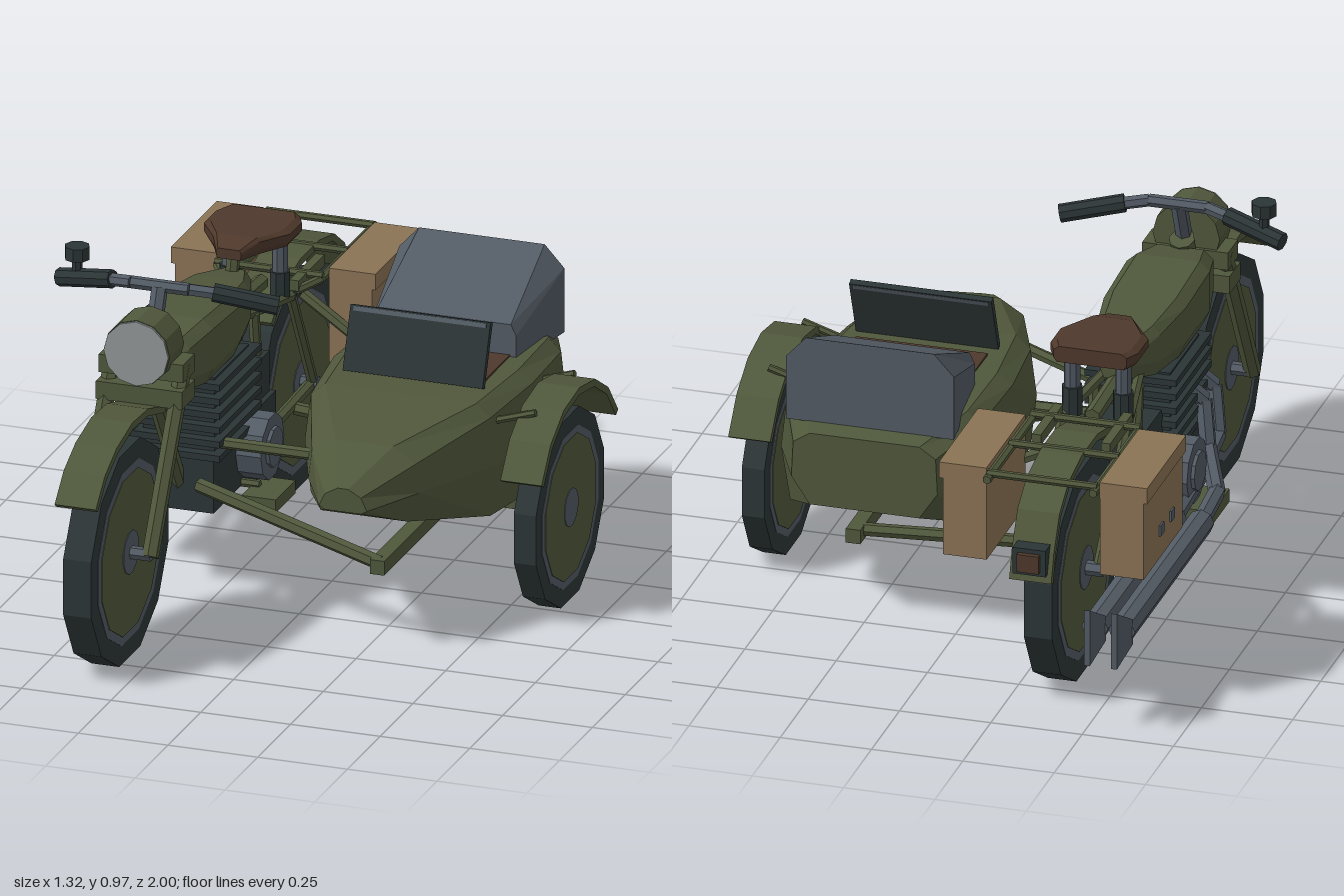
import * as THREE from 'three';

const mat = (name, color) => {
  const m = new THREE.MeshStandardMaterial({ color, flatShading: true });
  m.name = name;
  return m;
};

export function createModel() {
  const olive = mat('olive paint', 0x4f573b), dark = mat('dark rubber', 0x2c3536),
    steel = mat('steel grey', 0x535b65), tan = mat('tan canvas', 0x8b7355),
    brown = mat('brown leather', 0x4e382b), glass = mat('lamp glass', 0x909596);

  const root = new THREE.Group();
  root.name = 'motorcycleWithSidecar';
  const bike = new THREE.Group();      // local x = 0 is the bike's centre line
  bike.name = 'motorcycle';
  bike.position.x = -0.35;
  const car = new THREE.Group();
  car.name = 'sidecar';
  root.add(bike, car);

  const add = (parent, name, geo, material, x = 0, y = 0, z = 0) => {
    const m = new THREE.Mesh(geo, material);
    m.name = name;
    m.position.set(x, y, z);
    parent.add(m);
    return m;
  };
  const box = (p, name, m, w, h, d, x, y, z) => add(p, name, new THREE.BoxGeometry(w, h, d), m, x, y, z);
  // straight round bar between two points
  const bar = (p, name, m, a, b, r = 0.012, sides = 6) => {
    const A = new THREE.Vector3(...a), B = new THREE.Vector3(...b), d = B.clone().sub(A);
    const o = add(p, name, new THREE.CylinderGeometry(r, r, d.length(), sides), m);
    o.position.copy(A).add(B).multiplyScalar(0.5);
    o.quaternion.setFromUnitVectors(new THREE.Vector3(0, 1, 0), d.normalize());
  };
  const path = (p, name, m, pts, r, sides = 6) => {
    for (let i = 1; i < pts.length; i++) bar(p, name, m, pts[i - 1], pts[i], r, sides);
  };
  // closed skin over cross-sections, back to front, each counterclockwise seen from the front
  const loft = (sections) => {
    const n = sections[0].length, idx = [], k = sections.length;
    for (let s = 0; s < k - 1; s++) for (let i = 0; i < n; i++) {
      const a = s * n + i, b = s * n + (i + 1) % n;
      idx.push(a, b, b + n, a, b + n, a + n);
    }
    const f = (k - 1) * n;
    for (let i = 1; i < n - 1; i++) idx.push(0, i + 1, i, f, f + i, f + i + 1);
    let g = new THREE.BufferGeometry();
    g.setAttribute('position', new THREE.Float32BufferAttribute(sections.flat(2), 3));
    g.setIndex(idx);
    g = g.toNonIndexed();
    g.computeVertexNormals();
    return g;
  };
  // mirrored section from [half width, y] pairs listed bottom to top
  const ring = (cx, z, half) => [
    ...half.map(([w, y]) => [cx + w, y, z]),
    ...half.slice().reverse().map(([w, y]) => [cx - w, y, z])];
  // curved mudguard strip; points are [z, y], thickened toward the wheel centre
  const fender = (p, name, pts, cz, cy, width, x) => {
    const inner = pts.map(([z, y]) => {
      const l = Math.hypot(cz - z, cy - y);
      return [z + (cz - z) / l * 0.02, y + (cy - y) / l * 0.02];
    }).reverse();
    const shape = new THREE.Shape([...pts, ...inner].map(q => new THREE.Vector2(...q)));
    const g = new THREE.ExtrudeGeometry(shape, { depth: width, bevelEnabled: false });
    g.translate(0, 0, -width / 2).rotateY(-Math.PI / 2);
    add(p, name, g, olive, x);
  };
  const wheel = (p, name, x, y, z, k, width) => {
    const g = new THREE.Group(), w = width / 2;
    g.name = name;
    g.position.set(x, y, z);
    p.add(g);
    const prof = [[0.235, -w + 0.008], [0.25, -w], [0.305, -w], [0.305, w], [0.25, w], [0.235, w - 0.008]];
    const turn = geo => geo.rotateY(Math.PI / 12).rotateZ(Math.PI / 2);
    const disc = (r, l) => turn(new THREE.CylinderGeometry(r * k, r * k, l, 12));
    add(g, 'tyre', turn(new THREE.LatheGeometry(prof.map(([r, h]) => new THREE.Vector2(r * k, h)), 12)), dark);
    add(g, 'rim', disc(0.25, width + 0.002), steel);
    add(g, 'wheelDisc', disc(0.226, width + 0.005), olive);
    add(g, 'hub', disc(0.06, width + 0.009), steel);
  };

  // wheels and mudguards
  wheel(bike, 'frontWheel', 0, 0.295, 0.69, 1, 0.078);
  wheel(bike, 'rearWheel', 0, 0.295, -0.61, 1, 0.078);
  wheel(car, 'sidecarWheel', 0.6, 0.26, -0.09, 0.88, 0.062);
  fender(bike, 'frontFender', [[1, 0.53], [0.93, 0.6], [0.84, 0.645], [0.72, 0.672], [0.6, 0.667], [0.46, 0.625]], 0.69, 0.295, 0.115, 0);
  fender(bike, 'rearFender', [[-0.34, 0.56], [-0.44, 0.63], [-0.56, 0.66], [-0.7, 0.66], [-0.82, 0.635], [-0.9, 0.58], [-0.95, 0.49], [-0.975, 0.41]], -0.61, 0.295, 0.115, 0);
  fender(car, 'sidecarFender', [[0.2, 0.43], [0.13, 0.52], [0.03, 0.58], [-0.09, 0.6], [-0.21, 0.58], [-0.31, 0.52], [-0.385, 0.43]], -0.09, 0.26, 0.115, 0.6);

  // fork, head and lamp
  for (const s of [-1, 1]) bar(bike, 'forkLeg', olive, [s * 0.098, 0.29, 0.695], [s * 0.098, 0.74, 0.44], 0.023);
  bar(bike, 'frontAxle', steel, [-0.1, 0.295, 0.69], [0.1, 0.295, 0.69], 0.018);
  box(bike, 'lowerForkClamp', olive, 0.24, 0.05, 0.1, 0, 0.665, 0.465);
  box(bike, 'upperForkClamp', olive, 0.235, 0.05, 0.09, 0, 0.735, 0.455);
  bar(bike, 'steeringHead', olive, [0, 0.62, 0.46], [0, 0.8, 0.38], 0.035, 8);
  bar(bike, 'headlampShell', olive, [0, 0.79, 0.42], [0, 0.79, 0.53], 0.092, 12);
  bar(bike, 'headlampGlass', glass, [0, 0.79, 0.529], [0, 0.79, 0.537], 0.09, 12);

  // handlebar, grips and mirror
  bar(bike, 'handlebarStem', steel, [0, 0.78, 0.41], [0, 0.91, 0.355], 0.022);
  path(bike, 'handlebar', steel, [[-0.16, 0.902, 0.325], [-0.08, 0.913, 0.35], [0.08, 0.913, 0.35], [0.16, 0.902, 0.325]], 0.017);
  for (const s of [-1, 1])
    bar(bike, 'grip', dark, [s * 0.14, 0.906, 0.33], [s * 0.305, 0.873, 0.285], 0.025, 8);
  bar(bike, 'mirrorStem', dark, [-0.25, 0.89, 0.3], [-0.25, 0.95, 0.3], 0.014);
  bar(bike, 'mirror', dark, [-0.25, 0.938, 0.3], [-0.25, 0.974, 0.3], 0.034, 8);

  // fuel tank
  const tank = [[-0.22, 0.66, 0.03, 0.045, 0.75], [-0.1, 0.63, 0.075, 0.088, 0.77], [0.05, 0.62, 0.095, 0.112, 0.785],
    [0.26, 0.62, 0.095, 0.114, 0.798], [0.37, 0.63, 0.07, 0.09, 0.78], [0.415, 0.66, 0.05, 0.06, 0.74]];
  add(bike, 'fuelTank', loft(tank.map(([z, yb, wb, wm, yt]) =>
    ring(0, z, [[wb, yb], [wm, yb + 0.04], [wm, yt - 0.025], [wb * 0.9, yt]]))), olive);

  // saddle with springs
  const saddle = [[-0.44, 0.1], [-0.4, 0.12], [-0.31, 0.12], [-0.23, 0.065], [-0.17, 0.035]];
  add(bike, 'saddle', loft(saddle.map(([z, w]) =>
    ring(0, z, [[w * 0.92, 0.795], [w, 0.808], [w, z > -0.2 ? 0.815 : 0.83], [w * 0.85, z > -0.2 ? 0.823 : 0.84]]))), brown);
  bar(bike, 'saddleStrut', olive, [0, 0.64, -0.17], [0, 0.8, -0.21], 0.018);
  for (const s of [-1, 1]) {
    bar(bike, 'saddleSpring', steel, [s * 0.07, 0.65, -0.37], [s * 0.07, 0.8, -0.37], 0.022, 8);
    bar(bike, 'springSocket', dark, [s * 0.07, 0.62, -0.37], [s * 0.07, 0.7, -0.37], 0.028, 8);
  }

  // engine with cooling fins
  box(bike, 'sump', dark, 0.2, 0.17, 0.48, 0, 0.322, -0.02);
  box(bike, 'cylinderBlock', dark, 0.2, 0.27, 0.26, 0, 0.48, 0.08);
  box(bike, 'gearbox', dark, 0.17, 0.2, 0.18, 0, 0.42, -0.16);
  for (let i = 0; i < 6; i++) box(bike, 'coolingFin', dark, 0.25, 0.018, 0.32, 0, 0.4 + i * 0.04, 0.08);
  bar(bike, 'crankcase', steel, [-0.17, 0.34, -0.04], [0.17, 0.34, -0.04], 0.09, 10);
  bar(bike, 'crankcaseCap', steel, [-0.18, 0.34, -0.04], [0.18, 0.34, -0.04], 0.055, 10);
  for (const s of [-1, 1]) box(bike, 'footrest', olive, 0.095, 0.037, 0.15, s * 0.175, 0.222, 0.005);
  bar(bike, 'footrestBar', olive, [-0.15, 0.245, 0], [0.15, 0.245, 0], 0.012);

  // frame tubes, rear stays and luggage rack
  bar(bike, 'topTube', olive, [0, 0.68, 0.4], [0, 0.64, -0.42], 0.022);
  bar(bike, 'downTube', olive, [0, 0.66, 0.42], [0, 0.3, 0.2], 0.02);
  bar(bike, 'rearAxle', steel, [-0.09, 0.295, -0.61], [0.09, 0.295, -0.61], 0.02);
  for (const s of [-1, 1]) {
    bar(bike, 'lowerStay', olive, [s * 0.07, 0.28, -0.24], [s * 0.07, 0.295, -0.61], 0.016);
    path(bike, 'rearStay', olive, [[s * 0.04, 0.65, -0.12], [s * 0.09, 0.62, -0.4], [s * 0.075, 0.295, -0.61]], 0.015);
    bar(bike, 'seatTube', olive, [s * 0.06, 0.3, -0.25], [s * 0.06, 0.64, -0.2], 0.015);
    box(bike, 'saddleBracket', olive, 0.025, 0.03, 0.2, s * 0.095, 0.645, -0.51);
    path(bike, 'rackRail', olive, [[s * 0.1, 0.63, -0.42], [s * 0.145, 0.645, -0.48], [s * 0.145, 0.645, -0.89]], 0.012);
  }
  for (const z of [-0.48, -0.67, -0.865])
    bar(bike, 'rackCrossbar', olive, [-0.15, 0.655, z], [0.15, 0.655, z], 0.011);

  // panniers with buckles
  for (const s of [-1, 1]) {
    box(bike, 'pannier', tan, 0.12, 0.23, 0.345, s * 0.215, 0.515, -0.685);
    box(bike, 'pannierLid', tan, 0.13, 0.045, 0.35, s * 0.22, 0.643, -0.685);
    for (const z of [-0.61, -0.705]) box(bike, 'buckle', steel, 0.008, 0.03, 0.03, s * 0.276, 0.48, z);
  }

  // tail lamp
  box(bike, 'tailLampHousing', dark, 0.09, 0.075, 0.07, 0, 0.47, -0.95);
  box(bike, 'tailLampLens', brown, 0.06, 0.05, 0.015, 0, 0.47, -0.992);

  // twin exhausts with fishtails
  const flat = (x, z, w, h) => ring(x, z, [[w, 0.28 - h], [w, 0.28 + h]]);
  [[-0.237, 0.14], [-0.163, 0.23]].forEach(([x, z]) => {
    path(bike, 'exhaustPipe', steel, [[-0.1, 0.5, z - 0.02], [-0.135, 0.46, z], [-0.155, 0.34, z - 0.03],
      [x + 0.015, 0.28, z - 0.17], [x, 0.28, -0.23]], 0.023);
    bar(bike, 'silencer', steel, [x, 0.28, -0.22], [x, 0.28, -0.93], 0.036, 8);
    add(bike, 'fishtail', loft([flat(x, -1, 0.008, 0.08), flat(x, -0.925, 0.03, 0.035)]), steel);
  });

  // sidecar hull: z, then half width and height at the keel, waist, shoulder and deck
  const hull = [[-0.57, 0.15, 0.355, 0.2, 0.43, 0.195, 0.53, 0.15, 0.56], [-0.4, 0.255, 0.28, 0.28, 0.43, 0.265, 0.565, 0.23, 0.6],
    [-0.15, 0.28, 0.272, 0.292, 0.43, 0.277, 0.57, 0.235, 0.6], [0.1, 0.25, 0.285, 0.267, 0.43, 0.25, 0.56, 0.21, 0.595],
    [0.38, 0.12, 0.355, 0.155, 0.44, 0.145, 0.52, 0.08, 0.56], [0.54, 0.05, 0.425, 0.067, 0.435, 0.05, 0.47, 0.015, 0.49]];
  add(car, 'sidecarHull', loft(hull.map(([z, ...h]) =>
    ring(0.228, z, [0, 2, 4, 6].map(i => [h[i], h[i + 1]])))), olive);

  // folded hood, seat and windscreen
  add(car, 'foldedHood', loft([
    ring(0.228, -0.52, [[0.23, 0.57], [0.23, 0.75], [0.175, 0.81]]),
    ring(0.228, -0.235, [[0.2, 0.58], [0.2, 0.66], [0.185, 0.69]])]), steel);
  box(car, 'sidecarSeat', brown, 0.36, 0.02, 0.19, 0.23, 0.595, -0.145);
  const screen = box(car, 'windscreen', dark, 0.39, 0.175, 0.018, 0.23, 0.682, -0.025);
  screen.rotation.x = -0.36;
  const trim = box(car, 'windscreenTrim', steel, 0.37, 0.012, 0.022, 0.23, 0.755, -0.051);
  trim.rotation.x = -0.36;

  // sidecar chassis and struts to the motorcycle
  box(car, 'chassisRail', olive, 0.04, 0.04, 0.92, 0.285, 0.237, -0.025);
  box(car, 'wheelArm', olive, 0.16, 0.036, 0.05, 0.52, 0.262, -0.09);
  bar(car, 'lowerFrontStrut', olive, [-0.28, 0.325, 0.25], [0.285, 0.24, 0.41], 0.02);
  bar(car, 'upperFrontStrut', olive, [-0.3, 0.42, 0.17], [0.08, 0.475, 0.3], 0.016);
  bar(car, 'lowerRearStrut', olive, [-0.27, 0.28, -0.46], [0.285, 0.24, -0.44], 0.018);
  bar(car, 'upperRearStrut', olive, [-0.27, 0.58, -0.52], [0.06, 0.4, -0.45], 0.016);
  for (const z of [-0.24, 0.06]) {
    bar(car, 'fenderStay', olive, [0.48, 0.54, z], [0.59, 0.575, z], 0.01);
    bar(car, 'hullMount', olive, [0.285, 0.24, z], [0.285, 0.3, z], 0.014);
  }
  return root;
}
